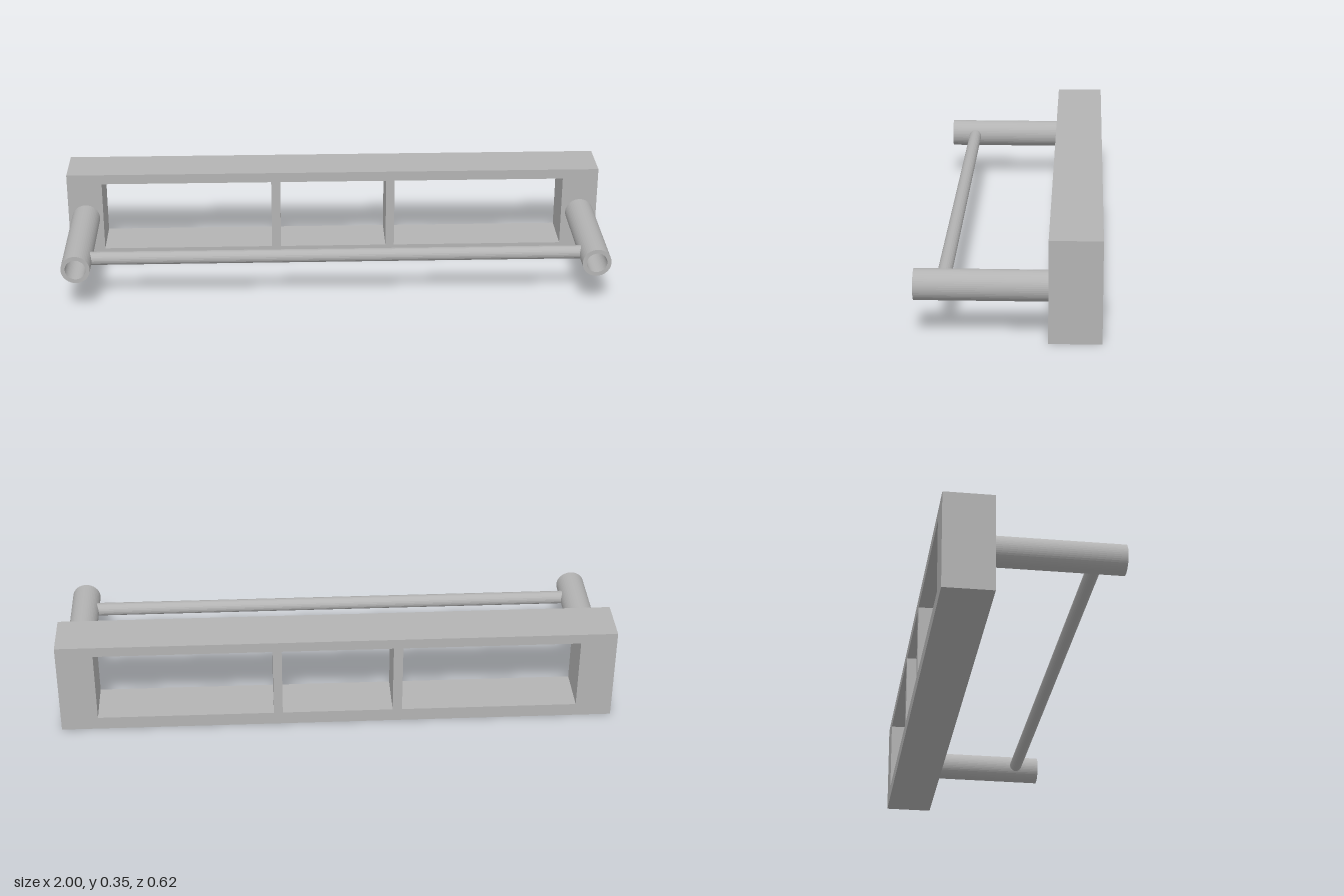
import * as THREE from 'three';

const metal = new THREE.MeshStandardMaterial({ color: 0xb3b3b3, flatShading: true });
metal.name = 'grey metal';

// Counter-clockwise rectangle points
const rect = (x0, y0, x1, y1) =>
  [[x0, y0], [x1, y0], [x1, y1], [x0, y1]].map(([x, y]) => new THREE.Vector2(x, y));

function addMesh(parent, name, geometry) {
  const mesh = new THREE.Mesh(geometry, metal);
  mesh.name = name;
  parent.add(mesh);
  return mesh;
}

export function createModel() {
  const group = new THREE.Group();
  group.name = 'wallRail';
  const midY = 0.177, backZ = -0.308, frameFront = -0.132, frontZ = 0.308;

  // Rectangular frame with three open bays
  const outline = new THREE.Shape(rect(-1, 0, 1, 0.352));
  for (const [x0, x1] of [[-0.87, -0.234], [-0.2, 0.199], [0.231, 0.867]]) {
    outline.holes.push(new THREE.Path(rect(x0, 0.048, x1, 0.315).reverse()));
  }
  const frame = addMesh(group, 'frame', new THREE.ExtrudeGeometry(outline, {
    depth: frameFront - backZ, bevelEnabled: false,
  }));
  frame.position.z = backZ;

  // Hollow support tubes standing out from the frame
  const ring = new THREE.Shape().absarc(0, 0, 0.052, 0, Math.PI * 2, false);
  ring.holes.push(new THREE.Path().absarc(0, 0, 0.037, 0, Math.PI * 2, true));
  const tubeGeometry = new THREE.ExtrudeGeometry(ring, {
    depth: frontZ - frameFront, bevelEnabled: false, curveSegments: 24,
  });
  for (const side of [-1, 1]) {
    const tube = addMesh(group, side > 0 ? 'leftTube' : 'rightTube', tubeGeometry);
    tube.position.set(side * 0.935, midY, frameFront);
  }

  // Thin cross rod, ending inside the tube walls
  const rod = addMesh(group, 'crossRod', new THREE.CylinderGeometry(0.024, 0.024, 1.784, 24));
  rod.rotation.z = Math.PI / 2;
  rod.position.set(0, midY, 0.215);

  return group;
}
